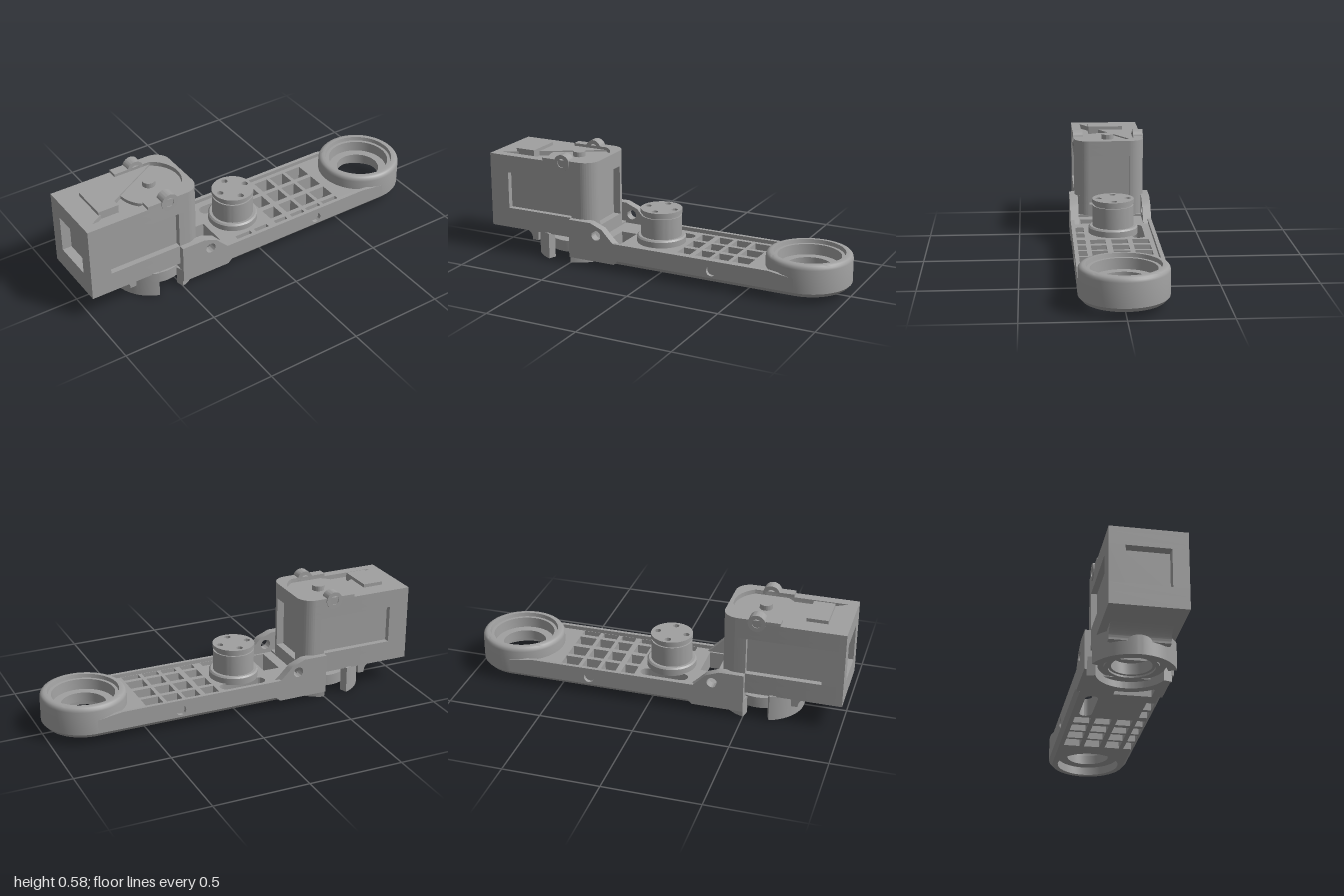
import * as THREE from 'three';
import { toCreasedNormals } from 'three/addons/utils/BufferGeometryUtils.js';

const grey = new THREE.MeshStandardMaterial({ color: 0xa0a0a0 });
grey.name = 'grey plastic';
const PI = Math.PI;

export function createModel() {
  const root = new THREE.Group();
  root.name = 'motorArm';

  const add = (name, geo, x = 0, y = 0, z = 0) => {
    const mesh = new THREE.Mesh(toCreasedNormals(geo, 0.6), grey);
    mesh.name = name;
    mesh.position.set(x, y, z);
    root.add(mesh);
    return mesh;
  };
  const poly = pts => new THREE.Shape(pts.map(p => new THREE.Vector2(...p)));
  const rect = (x0, x1, y0, y1) => poly([[x0, y0], [x1, y0], [x1, y1], [x0, y1]]);
  const circle = (x, y, r) => new THREE.Shape().absarc(x, y, r, 0, 2 * PI, false);
  const cut = (shape, ...holes) => { shape.holes.push(...holes); return shape; };
  const extrude = (shape, depth) =>
    new THREE.ExtrudeGeometry(shape, { depth, bevelEnabled: false, curveSegments: 28 });
  // Plan outline (x, z) raised from y0 to y1
  const slab = (name, shape, y0, y1) => add(name, extrude(shape, y1 - y0).rotateX(PI / 2), 0, y1, 0);
  // Side outline (x, y) running from z0 to z1
  const plate = (name, shape, z0, z1) => add(name, extrude(shape, z1 - z0), 0, 0, z0);
  const box = (name, x0, x1, y0, y1, z0, z1) => add(name,
    new THREE.BoxGeometry(x1 - x0, y1 - y0, z1 - z0), (x0 + x1) / 2, (y0 + y1) / 2, (z0 + z1) / 2);
  const lathe = (name, pts, x) =>
    add(name, new THREE.LatheGeometry(pts.map(p => new THREE.Vector2(...p)), 64), x);
  const sector = (x, r0, r1, a0, a1) => new THREE.Shape()
    .absarc(x, 0, r1, a0, a1, false).absarc(x, 0, r0, a1, a0, true);

  // Bearing ring at the far end, stepped inside from both faces
  lathe('bearingRing', [
    [0.17, 0.035], [0.2, 0.035], [0.22, 0.057], [0.22, 0.18], [0.2175, 0.192], [0.21, 0.201],
    [0.198, 0.205], [0.182, 0.205], [0.178, 0.185], [0.162, 0.185], [0.158, 0.13],
    [0.115, 0.13], [0.115, 0.08], [0.17, 0.08], [0.17, 0.035],
  ], 0.775);

  // Arm floor with its grid of square openings
  const floor = new THREE.Shape();
  floor.moveTo(-0.24, -0.2);
  floor.lineTo(0.775, -0.2);
  floor.absarc(0.775, 0, 0.2, 1.5 * PI, 0.5 * PI, true);
  [[-0.24, 0.2], [-0.24, 0.175], [-0.43, 0.175], [-0.43, -0.175], [-0.24, -0.175]]
    .forEach(p => floor.lineTo(...p));
  const columns = [[0.096, 0.17], [0.2, 0.28], [0.3, 0.385], [0.405, 0.5]];
  const rows = [[-0.176, -0.09], [-0.065, 0.02], [0.05, 0.13], [0.155, 0.198]];
  for (const c of columns) for (const r of rows) floor.holes.push(rect(...c, ...r));
  const slot = new THREE.Shape()
    .absarc(-0.15, -0.128, 0.033, 0.5 * PI, 1.5 * PI, false)
    .absarc(0.04, -0.128, 0.033, -0.5 * PI, 0.5 * PI, false);
  cut(floor, rect(-0.145, -0.055, 0.155, 0.198), rect(-0.03, 0.05, 0.155, 0.198),
    rect(-0.315, -0.225, -0.03, 0.165), slot);
  slab('armFloor', floor, 0.035, 0.13);

  for (const s of [-1, 1]) {
    const span = (a, b) => s > 0 ? [a, b] : [-b, -a];
    // Side wall with a screw hole, and the chamfer under it
    const wall = poly([[-0.24, 0.057], [0.775, 0.057], [0.775, 0.13], [0.64, 0.15], [-0.24, 0.15]]);
    plate('sideWall', cut(wall, circle(0.33, 0.095, 0.027)), ...span(0.2, 0.22));
    const chamfer = poly([[0, 0.035], [0, 0.057], [0.02, 0.057]]);
    const geo = extrude(chamfer, 1.0).rotateY(s > 0 ? -PI / 2 : PI / 2);
    add('wallChamfer', geo, s > 0 ? 0.775 : -0.225, 0, s * 0.2);

    // Knee cheek with pivot hole
    const cheek = poly([[-0.5, 0.035], [-0.23, 0.035], [-0.205, 0.06], [-0.205, 0.125],
      [-0.235, 0.15], [-0.285, 0.2], [-0.3, 0.217], [-0.345, 0.235], [-0.37, 0.245], [-0.5, 0.245]]);
    plate('kneeCheek', cut(cheek, circle(-0.335, 0.18, 0.027)), ...span(0.175, 0.22));

    // Screw ear on the motor case
    plate('screwEar', cut(circle(-0.55, 0.54, 0.045), circle(-0.55, 0.54, 0.024)), ...span(0.14, 0.195));
  }

  // Post with grooved neck and screw holes in the cap
  lathe('post', [[0, 0.125], [0.13, 0.125], [0.13, 0.16], [0.122, 0.168], [0.108, 0.168],
    [0.108, 0.278], [0.1, 0.278], [0.1, 0.29], [0, 0.29]], -0.06);
  const cap = circle(-0.06, 0, 0.11);
  for (let i = 0; i < 4; i++) {
    const a = i * PI / 2;
    cap.holes.push(circle(-0.06 + 0.077 * Math.cos(a), 0.077 * Math.sin(a), 0.017));
  }
  slab('postCap', cap, 0.29, 0.312);

  // Swivel joint under the motor: hub, two clip arcs, neck
  slab('swivelHub', cut(circle(-0.56, 0, 0.165), circle(-0.56, 0, 0.1)), 0.04, 0.1);
  slab('swivelLip', cut(circle(-0.56, 0, 0.135), circle(-0.56, 0, 0.115)), 0.03, 0.04);
  slab('kneeClip', sector(-0.56, 0.175, 0.218, -0.41 * PI, 0.41 * PI), 0, 0.1);
  slab('motorClip', sector(-0.56, 0.175, 0.218, 0.61 * PI, 1.39 * PI), 0, 0.14);
  box('kneeBlock', -0.5, -0.37, 0.1, 0.14, -0.175, 0.175);
  const neck = new THREE.Shape();
  neck.moveTo(-0.86, 0.14);
  neck.quadraticCurveTo(-0.77, 0.13, -0.77, 0.07);
  neck.lineTo(-0.735, 0.07);
  neck.lineTo(-0.735, 0.14);
  plate('motorNeck', neck, -0.15, 0.15);

  // Motor case in layers, notched where the windows sit
  const caseOutline = (windows, front) => {
    const s = new THREE.Shape();
    const to = pts => pts.forEach(p => s.lineTo(...p));
    s.moveTo(-1, -0.19);
    if (windows) to([[-0.89, -0.19], [-0.89, -0.16], [-0.5, -0.16], [-0.5, -0.19]]);
    s.lineTo(-0.45, -0.19);
    s.absarc(-0.45, -0.11, 0.08, -PI / 2, 0, false);
    if (front) to([[-0.41, -0.11], [-0.41, 0.11]]);
    s.lineTo(-0.37, 0.11);
    s.absarc(-0.45, 0.11, 0.08, 0, PI / 2, false);
    if (windows) to([[-0.5, 0.19], [-0.5, 0.16], [-0.89, 0.16], [-0.89, 0.19]]);
    s.lineTo(-1, 0.19);
    if (windows) to([[-1, 0.11], [-0.95, 0.11], [-0.95, -0.11], [-1, -0.11]]);
    return s;
  };
  slab('motorCaseBase', caseOutline(false, false), 0.135, 0.2);
  slab('motorCaseLower', caseOutline(false, true), 0.2, 0.245);
  slab('motorCaseWindows', caseOutline(true, true), 0.245, 0.445);
  slab('motorCaseUpper', caseOutline(false, true), 0.445, 0.47);
  slab('motorCaseTop', caseOutline(false, false), 0.47, 0.515);

  // Rim around the sunken lid, higher on the knee side
  const bend = Math.asin(0.14 / 0.165);
  const lid = new THREE.Shape();
  lid.moveTo(-0.95, -0.14);
  lid.absarc(-0.555, 0, 0.165, -bend, bend, false);
  lid.lineTo(-0.95, 0.14);
  slab('lidRim', cut(caseOutline(false, false), lid), 0.515, 0.54);
  const raised = new THREE.Shape();
  raised.moveTo(-0.67, -0.19);
  raised.lineTo(-0.45, -0.19);
  raised.absarc(-0.45, -0.11, 0.08, -PI / 2, 0, false);
  raised.absarc(-0.45, 0.11, 0.08, 0, PI / 2, false);
  raised.lineTo(-0.67, 0.19);
  raised.lineTo(-0.67, 0.14);
  raised.absarc(-0.555, 0, 0.165, bend, -bend, true);
  raised.lineTo(-0.67, -0.14);
  slab('raisedRim', raised, 0.54, 0.555);

  // Lid details
  const disc = new THREE.Shape()
    .absarc(-0.555, 0, 0.163, -bend, bend, false)
    .absarc(-0.555, 0, 0.163, PI - bend, PI + bend, false);
  slab('lidDisc', disc, 0.51, 0.533);
  slab('lidButton', circle(-0.555, 0, 0.033), 0.53, 0.56);
  box('lidPad', -0.89, -0.78, 0.51, 0.558, -0.097, 0.097);

  return root;
}
